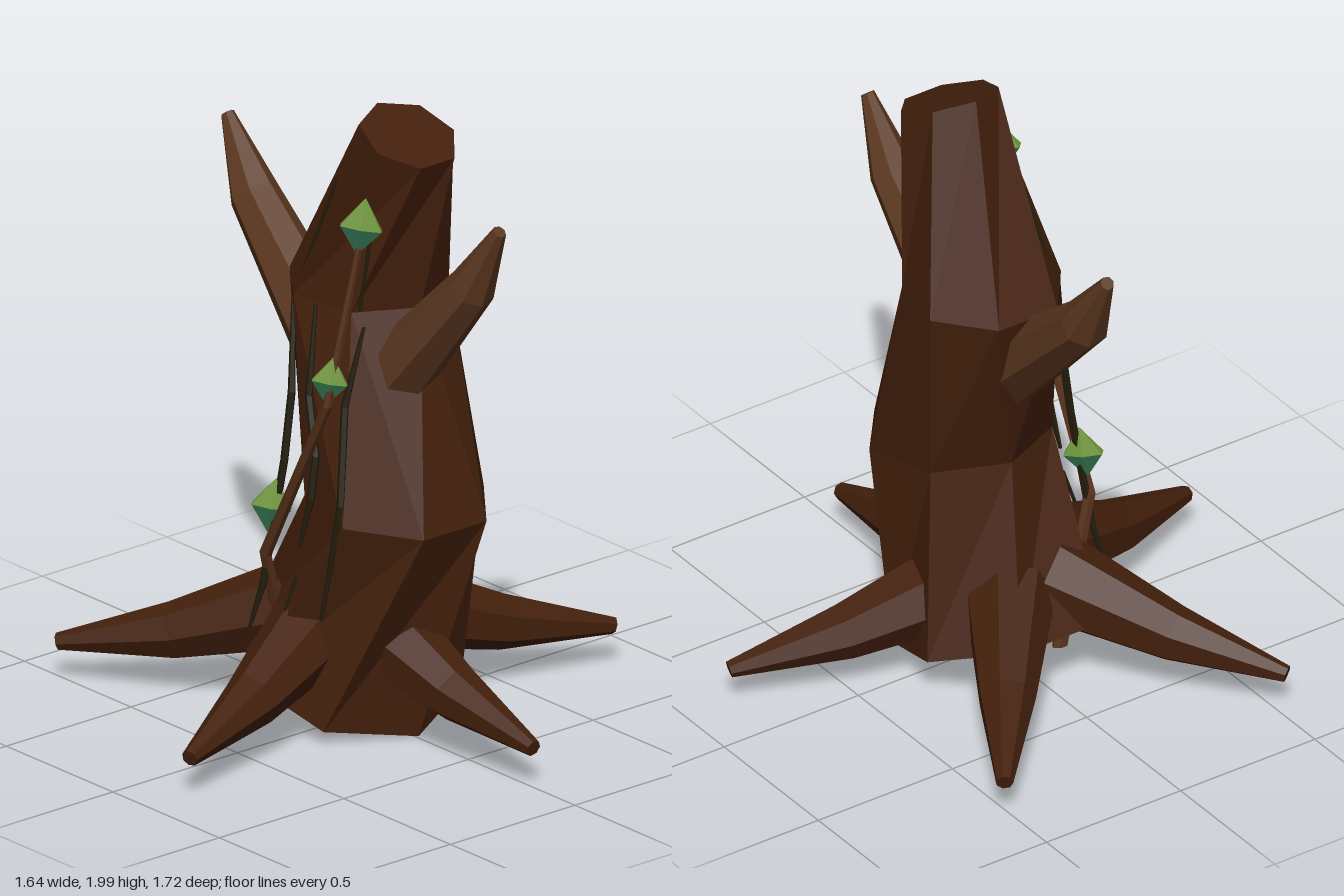
import * as THREE from 'three';

const mat = (name, color) => {
  const m = new THREE.MeshStandardMaterial({ color, flatShading: true });
  m.name = name;
  return m;
};
const V = (p) => new THREE.Vector3(...p);

// Skin a list of rings (each counterclockwise seen from the far end) and cap both ends
function loft(rings) {
  const pos = [];
  const tri = (a, b, c) => [a, b, c].forEach((p) => pos.push(p.x, p.y, p.z));
  const n = rings[0].length;
  for (let i = 0; i < rings.length - 1; i++) {
    for (let j = 0; j < n; j++) {
      const k = (j + 1) % n, A = rings[i], B = rings[i + 1];
      tri(A[j], A[k], B[k]);
      tri(A[j], B[k], B[j]);
    }
  }
  const first = rings[0], last = rings[rings.length - 1];
  for (let j = 1; j < n - 1; j++) {
    tri(first[0], first[j + 1], first[j]);
    tri(last[0], last[j], last[j + 1]);
  }
  const g = new THREE.BufferGeometry();
  g.setAttribute('position', new THREE.Float32BufferAttribute(pos, 3));
  g.computeVertexNormals();
  return g;
}

// Tapered limb through points [x, y, z, radius]
function limb(points, sides) {
  const at = (p) => V(p.slice(0, 3));
  const d = at(points[points.length - 1]).sub(at(points[0])).normalize();
  const ref = Math.abs(d.y) > 0.8 ? V([0, 0, 1]) : V([0, 1, 0]);
  const u = new THREE.Vector3().crossVectors(d, ref).normalize();
  const v = new THREE.Vector3().crossVectors(d, u);
  return loft(points.map((p) => Array.from({ length: sides }, (_, j) => {
    const a = ((j + 0.5) / sides) * Math.PI * 2;
    return at(p).addScaledVector(u, p[3] * Math.cos(a)).addScaledVector(v, p[3] * Math.sin(a));
  })));
}

export function createModel() {
  const group = new THREE.Group();
  const bark = mat('darkBark', 0x44200c);
  const pale = mat('paleWood', 0x5c3820);
  const crack = mat('crackDark', 0x221c0a);
  const vineMat = mat('vineBrown', 0x56301a);
  const lightLeaf = mat('leafLight', 0x6f963c);
  const darkLeaf = mat('leafDark', 0x32724e);
  const add = (name, geo, m, parent = group) => {
    const mesh = new THREE.Mesh(geo, m);
    mesh.name = name;
    parent.add(mesh);
    return mesh;
  };

  // Crooked trunk: four seven-sided rings, each [centre x, y, z, radius x, radius z, turn, slope]
  const ring = ([cx, cy, cz, rx, rz, phase, slope]) => Array.from({ length: 7 }, (_, j) => {
    const a = ((j + phase) / 7) * Math.PI * 2;
    const dx = rx * Math.cos(a);
    return V([cx + dx, cy + slope * dx, cz - rz * Math.sin(a)]);
  });
  add('trunk', loft([
    [-0.08, 0.128, -0.01, 0.335, 0.35, 0, -0.36],
    [0.13, 0.74, -0.04, 0.29, 0.29, 0.5, -0.1],
    [-0.08, 1.38, -0.085, 0.257, 0.25, 0, -0.03],
    [0.157, 1.94, -0.055, 0.148, 0.157, 0.5, -0.41],
  ].map(ring)), bark);

  // Five roots spread evenly around the base
  for (let i = 0; i < 5; i++) {
    const a = (i / 5) * Math.PI * 2;
    const at = (r, y, rad) => [-0.09 + r * Math.cos(a), y, r * Math.sin(a), rad];
    add('root' + (i + 1), limb([at(0.14, 0.33, 0.145), at(0.53, 0.205, 0.09), at(0.895, 0.135, 0.027)], 7), bark);
  }

  // Two broken branches
  add('rightBranch', limb([[-0.13, 1.1, -0.03, 0.125], [-0.59, 1.52, -0.07, 0.08], [-0.725, 1.74, -0.08, 0.022]], 7), pale);
  add('leftBranch', limb([[0.1, 1.12, -0.02, 0.12], [0.44, 1.52, -0.065, 0.075], [0.565, 1.74, -0.07, 0.022]], 7), pale);

  // Dark cracks running down the front of the trunk
  const cracks = [
    [[-0.05, 1.77, 0.05], [-0.17, 1.4, 0.11]],
    [[-0.18, 1.38, 0.12], [-0.13, 1.07, 0.17], [-0.13, 0.85, 0.2], [-0.17, 0.45, 0.25], [-0.2, 0.3, 0.28]],
    [[-0.03, 1.38, 0.16], [-0.015, 1.1, 0.2], [0.04, 0.92, 0.22], [0.04, 0.78, 0.24], [0.01, 0.62, 0.26]],
    [[0.15, 1.35, 0.12], [0.13, 1.1, 0.18], [0.175, 0.8, 0.235], [0.125, 0.42, 0.27]],
    [[0.01, 0.53, 0.27], [-0.01, 0.42, 0.3]],
    [[0.17, 1.7, 0.1], [0.13, 1.4, 0.12]],
  ];
  cracks.forEach((path, i) => {
    const last = path.length - 1;
    const pts = path.map((p, j) => [...p, j === 0 || j === last ? 0.006 : 0.013]);
    add('barkCrack' + (i + 1), limb(pts, 5), crack);
  });

  // Climbing vine
  add('vine', limb([
    [-0.215, 0.08, 0.1, 0.026], [-0.16, 0.55, 0.25, 0.02], [0.13, 1.12, 0.25, 0.016], [0.16, 1.62, 0.15, 0.01],
  ], 6), vineMat);

  // Flattened faceted leaves: a light upper cone on a dark lower cone
  const leaves = [
    [0.16, 1.685, 0.14, 1], [0.13, 1.195, 0.24, 0.85], [-0.155, 0.7, 0.23, 0.95],
  ];
  leaves.forEach(([x, y, z, s], i) => {
    const leaf = new THREE.Group();
    leaf.name = 'leaf' + (i + 1);
    const top = add('leafTop', new THREE.ConeGeometry(0.074, 0.1, 6), lightLeaf, leaf);
    top.position.y = 0.05;
    const under = add('leafUnderside', new THREE.ConeGeometry(0.074, 0.09, 6), darkLeaf, leaf);
    under.rotation.x = Math.PI;
    under.position.y = -0.045;
    leaf.position.set(x, y, z);
    leaf.rotation.set(0, Math.PI / 4, -0.15);
    leaf.scale.set(s, s, s * 0.35);
    group.add(leaf);
  });

  return group;
}
